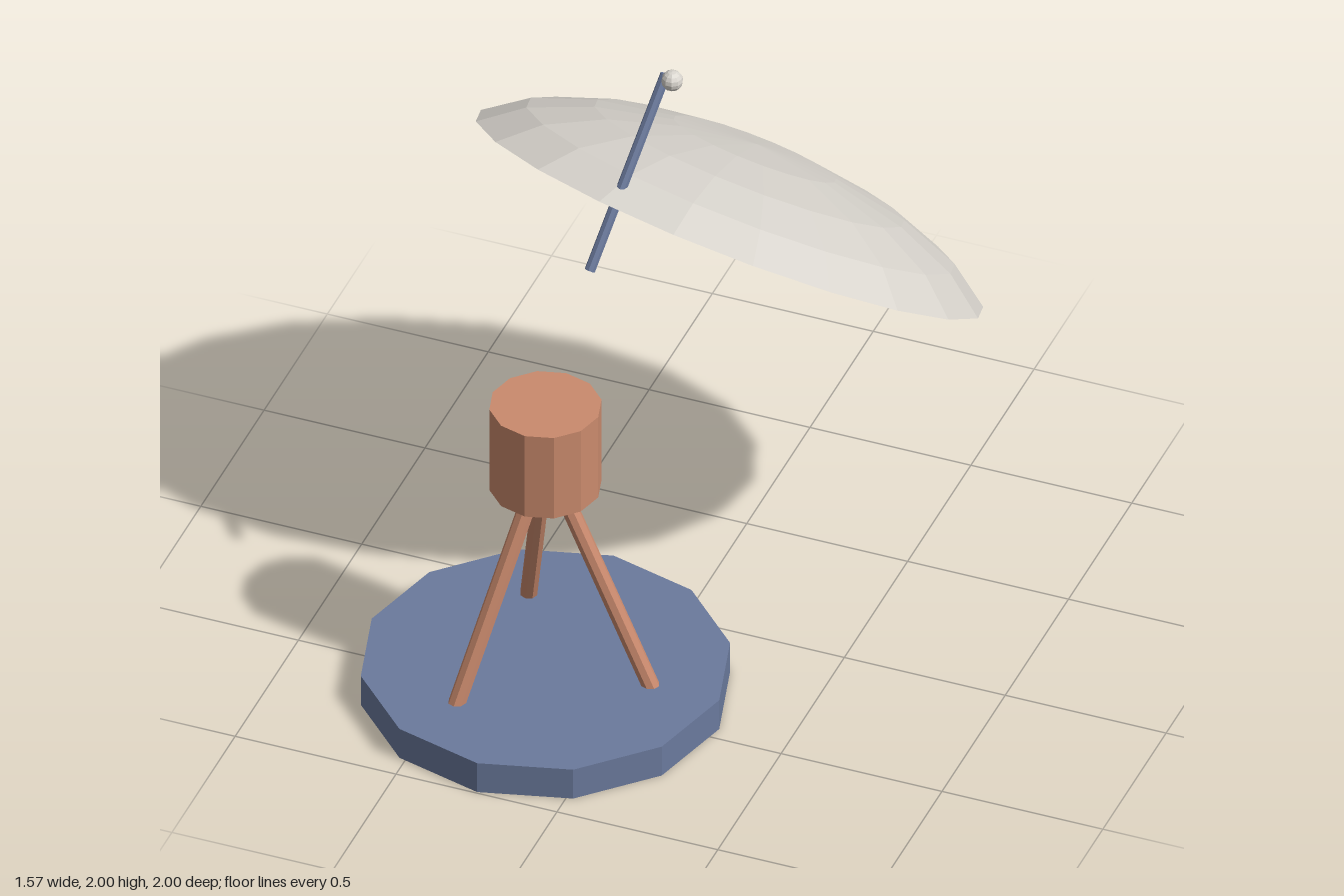
import * as THREE from 'three';

const material = (name, color) => {
  const m = new THREE.MeshStandardMaterial({ color, flatShading: true });
  m.name = name;
  return m;
};

export function createModel() {
  const model = new THREE.Group();
  model.name = 'dishAntenna';
  const blue = material('slateBlue', 0x6b7a9d);
  const copper = material('copper', 0xca8a6d);
  const pale = material('paleGrey', 0xd8d4cd);

  const add = (name, geometry, mat, parent = model) => {
    const mesh = new THREE.Mesh(geometry, mat);
    mesh.name = name;
    parent.add(mesh);
    return mesh;
  };
  // Straight round bar between two points
  const bar = (name, a, b, radius, mat, parent) => {
    const dir = b.clone().sub(a);
    const mesh = add(name, new THREE.CylinderGeometry(radius, radius, dir.length(), 8), mat, parent);
    mesh.position.copy(a).lerp(b, 0.5);
    mesh.quaternion.setFromUnitVectors(new THREE.Vector3(0, 1, 0), dir.normalize());
    return mesh;
  };

  // Stand: base disc, three splayed legs and the hub
  const stand = new THREE.Group();
  stand.name = 'stand';
  stand.position.set(-0.25, 0, 0.455);
  model.add(stand);
  add('base', new THREE.CylinderGeometry(0.54, 0.54, 0.104, 12), blue, stand).position.y = 0.052;
  add('hub', new THREE.CylinderGeometry(0.164, 0.164, 0.29, 12), copper, stand).position.y = 0.878;
  for (let i = 0; i < 3; i++) {
    const a = (i * Math.PI * 2) / 3;
    const at = (r, y) => new THREE.Vector3(r * Math.cos(a), y, r * Math.sin(a));
    bar('leg', at(0.349, 0.05), at(0.032, 0.77), 0.026, copper, stand);
  }

  // Dish: shallow flattened cap, its hollow side tipped down to the front
  const rimAngle = THREE.MathUtils.degToRad(70), radius = 0.79, depth = 0.22, rings = 4;
  const profile = [];
  for (let i = rings; i >= 0; i--) {
    const t = (rimAngle * i) / rings;
    profile.push(new THREE.Vector2(
      (radius * Math.sin(t)) / Math.sin(rimAngle),
      (depth * (Math.cos(t) - Math.cos(rimAngle))) / (1 - Math.cos(rimAngle))));
  }
  const shell = pale.clone();
  shell.name = 'paleGreyShell';
  shell.side = THREE.DoubleSide;
  const dish = add('dish', new THREE.LatheGeometry(profile, 20), shell);
  const up = new THREE.Vector3(0.177, 0.827, -0.534).normalize();
  const side = new THREE.Vector3(0.978, -0.209, 0).normalize();
  const front = side.clone().cross(up).normalize();
  side.copy(up).cross(front);
  dish.quaternion.setFromRotationMatrix(new THREE.Matrix4().makeBasis(side, up, front));
  dish.position.set(0.012, 1.235, -0.333);

  // Feed rod parallel to the dish axis, with a small ball at its tip
  bar('feedRod', new THREE.Vector3(-0.155, 1.457, 0.346), new THREE.Vector3(-0.046, 1.972, 0.024), 0.016, blue);
  add('feedBall', new THREE.SphereGeometry(0.032, 10, 8), pale).position.set(-0.02, 1.966, 0.038);

  return model;
}
